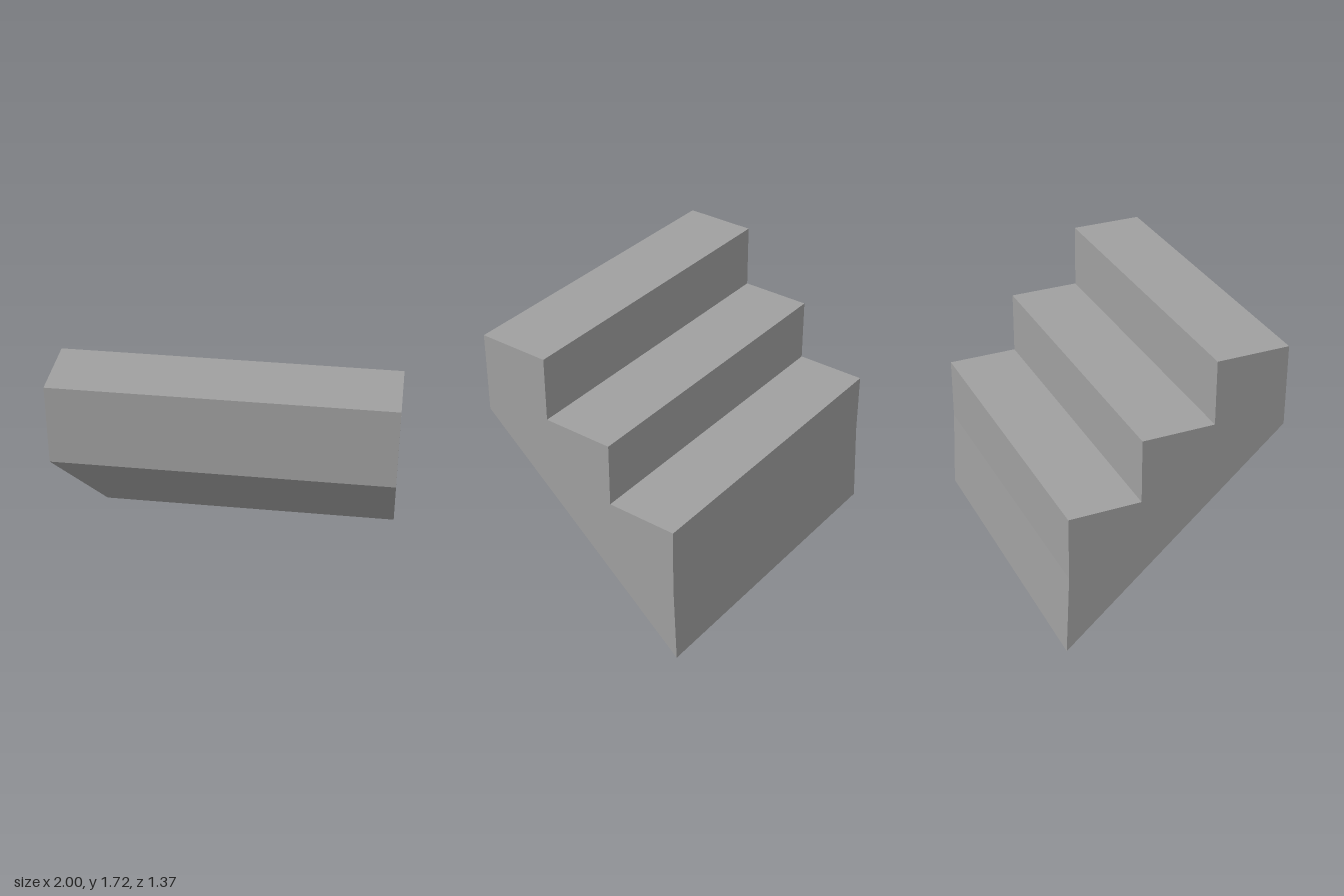
import * as THREE from 'three';

export function createModel() {
  const group = new THREE.Group();
  group.name = 'staircase';
  const stone = new THREE.MeshStandardMaterial({ color: 0xa0a0a0 });
  stone.name = 'stone grey';

  const width = 2, steps = 3, rise = 0.4, tread = 0.448;
  const high = 1.72, front = 0.683;

  // Side outline as (-z, y): sloped underside, slightly leaning foot, then the steps
  const points = [
    [-front, 1.22],
    [front, 0],
    [front - 0.022, high - steps * rise],
  ];
  for (let i = steps; i > 0; i--) {
    const y = high - (i - 1) * rise;
    points.push([-front + i * tread, y], [-front + (i - 1) * tread, y]);
  }
  const outline = new THREE.Shape(points.map(([x, y]) => new THREE.Vector2(x, y)));

  // Extrude across the width and turn so the steps descend toward the back
  const geometry = new THREE.ExtrudeGeometry(outline, { depth: width, bevelEnabled: false });
  geometry.translate(0, 0, -width / 2);
  geometry.rotateY(Math.PI / 2);

  const flight = new THREE.Mesh(geometry, stone);
  flight.name = 'stepFlight';
  group.add(flight);
  return group;
}
